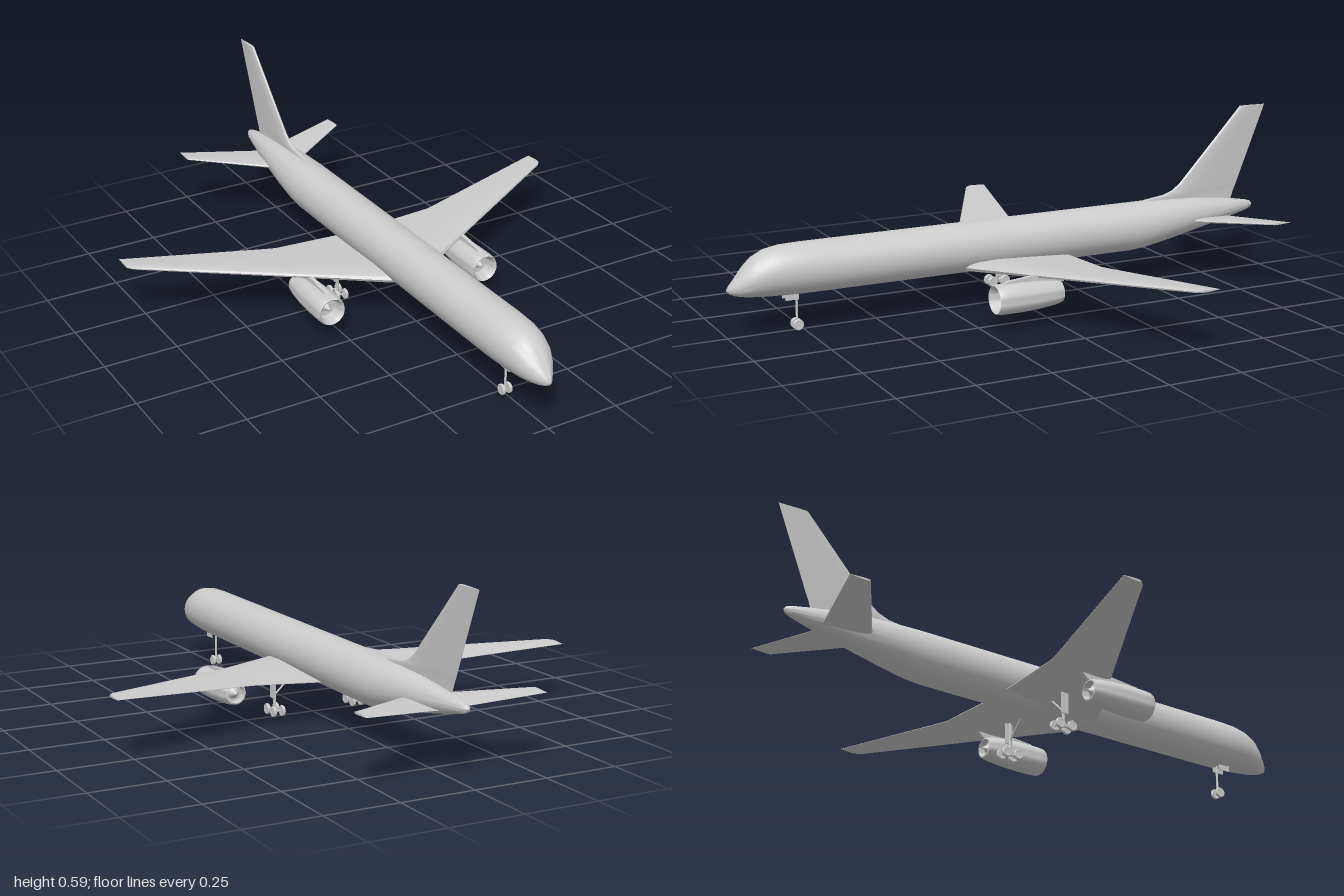
import * as THREE from 'three';
import { toCreasedNormals } from 'three/addons/utils/BufferGeometryUtils.js';

const material = new THREE.MeshStandardMaterial({ color: 0xcccccc });
const V = (x, y, z) => new THREE.Vector3(x, y, z);

function add(parent, name, geometry) {
  const mesh = new THREE.Mesh(geometry, material);
  mesh.name = name;
  parent.add(mesh);
  return mesh;
}

// Closed skin through rings of equal point count, capped at both ends and always facing outwards
function loft(rings) {
  const n = rings[0].length, points = rings.flat(), index = [];
  for (let r = 0; r < rings.length - 1; r++) {
    for (let i = 0; i < n; i++) {
      const a = r * n + i, b = r * n + (i + 1) % n;
      index.push(a, b, b + n, a, b + n, a + n);
    }
  }
  const last = (rings.length - 1) * n;
  for (let i = 1; i < n - 1; i++) index.push(0, i + 1, i, last, last + i, last + i + 1);
  let volume = 0;
  const cross = new THREE.Vector3();
  for (let i = 0; i < index.length; i += 3) {
    volume += points[index[i]].dot(cross.crossVectors(points[index[i + 1]], points[index[i + 2]]));
  }
  if (volume < 0) index.reverse();
  const geometry = new THREE.BufferGeometry().setFromPoints(points);
  geometry.setIndex(index);
  return toCreasedNormals(geometry, 0.7);
}

// Aerofoil outline as [fraction of chord from the leading edge, fraction of thickness]
const FOIL = [[0, 0], [0.02, 0.28], [0.09, 0.43], [0.28, 0.5], [0.6, 0.32], [1, 0.04],
  [1, -0.04], [0.6, -0.32], [0.28, -0.5], [0.09, -0.43], [0.02, -0.28]];

// Horizontal surface from stations [x, y, leading z, trailing z, thickness]
const panel = (stations, side) => loft(stations.map(([x, y, lead, trail, t]) =>
  FOIL.map(([c, h]) => V(side * x, y + h * t, lead + (trail - lead) * c))));

// Straight round bar between two points
function rod(parent, name, from, to, radius) {
  const mesh = add(parent, name, new THREE.CylinderGeometry(radius, radius, from.distanceTo(to), 10));
  mesh.position.addVectors(from, to).multiplyScalar(0.5);
  mesh.quaternion.setFromUnitVectors(V(0, 1, 0), to.clone().sub(from).normalize());
}

function wheel(parent, x, y, z, radius, width) {
  const profile = [[0, -0.4], [0.5, -0.4], [0.6, -0.5], [0.88, -0.5], [1, -0.3],
    [1, 0.3], [0.88, 0.5], [0.6, 0.5], [0.5, 0.4], [0, 0.4]];
  const geometry = new THREE.LatheGeometry(
    profile.map(([r, h]) => new THREE.Vector2(r * radius, h * width)), 20);
  const mesh = add(parent, 'wheel', toCreasedNormals(geometry, 0.6));
  mesh.rotation.z = Math.PI / 2;
  mesh.position.set(x, y, z);
}

function createFuselage(parent) {
  // Stations: z, bottom y, top y, half width
  const stations = [
    [1, 0.154, 0.158, 0.002], [0.99, 0.143, 0.172, 0.013], [0.97, 0.135, 0.193, 0.029],
    [0.94, 0.129, 0.228, 0.05], [0.91, 0.126, 0.255, 0.064], [0.87, 0.123, 0.274, 0.074],
    [0.82, 0.121, 0.283, 0.08], [0.75, 0.119, 0.285, 0.083], [0.2, 0.118, 0.285, 0.083],
    [-0.44, 0.118, 0.285, 0.083], [-0.5, 0.123, 0.285, 0.081], [-0.6, 0.141, 0.283, 0.073],
    [-0.7, 0.161, 0.278, 0.06], [-0.8, 0.181, 0.268, 0.044], [-0.88, 0.198, 0.256, 0.028],
    [-0.93, 0.21, 0.247, 0.018], [-0.95, 0.218, 0.241, 0.01], [-0.957, 0.227, 0.233, 0.003]];
  add(parent, 'fuselage', loft(stations.map(([z, low, high, w]) =>
    Array.from({ length: 36 }, (_, i) => {
      const a = i / 36 * Math.PI * 2;
      return V(Math.cos(a) * w, (low + high) / 2 + Math.sin(a) * (high - low) / 2, z);
    }))));
}

function createFin(parent) {
  // Stations: y, leading z, trailing z, thickness
  const stations = [[0.25, -0.46, -0.865, 0.016], [0.285, -0.485, -0.877, 0.016],
    [0.298, -0.585, -0.883, 0.016], [0.312, -0.625, -0.889, 0.016],
    [0.335, -0.655, -0.898, 0.016], [0.588, -0.896, -1, 0.012]];
  add(parent, 'tailFin', loft(stations.map(([y, lead, trail, t]) =>
    FOIL.map(([c, h]) => V(h * t, y, lead + (trail - lead) * c)))));
}

function createEngine(parent, side) {
  const engine = new THREE.Group();
  engine.name = 'engine';
  engine.position.set(side * 0.295, 0.099, 0);
  parent.add(engine);
  // Nacelle skin wraps from the intake fan, over the lip, back to the exhaust
  const profile = [[0, 0.165], [0.034, 0.165], [0.037, 0.195], [0.041, 0.211], [0.045, 0.214],
    [0.048, 0.208], [0.05, 0.185], [0.05, 0.12], [0.047, 0.06], [0.042, 0.01], [0.036, -0.02],
    [0.031, -0.022], [0.028, 0], [0, 0]];
  const shell = new THREE.LatheGeometry(profile.map(([r, z]) => new THREE.Vector2(r, -z)), 32);
  shell.rotateX(-Math.PI / 2);
  add(engine, 'nacelle', toCreasedNormals(shell, 0.7));
  const spinner = add(engine, 'spinner', new THREE.ConeGeometry(0.018, 0.035, 20));
  spinner.rotation.x = Math.PI / 2;
  spinner.position.z = 0.18;
  const exhaust = add(engine, 'exhaustCone', new THREE.ConeGeometry(0.022, 0.03, 20));
  exhaust.rotation.x = -Math.PI / 2;
  exhaust.position.z = -0.012;
  // Pylon in side outline
  const outline = [[0.19, 0.042], [0.17, 0.056], [0.06, 0.066], [-0.06, 0.064], [-0.03, 0.035], [0.1, 0.035]];
  add(engine, 'pylon', loft([-0.007, 0.007].map(x => outline.map(([z, y]) => V(x, y, z)))));
}

function createMainGear(parent, side) {
  const gear = new THREE.Group();
  gear.name = 'mainGear';
  gear.position.x = side * 0.15;
  parent.add(gear);
  rod(gear, 'strut', V(0, 0.027, -0.014), V(0, 0.155, -0.014), 0.005);
  rod(gear, 'sideBrace', V(0, 0.078, -0.014), V(-side * 0.065, 0.14, -0.014), 0.003);
  rod(gear, 'bogieBeam', V(0, 0.027, 0.009), V(0, 0.027, -0.037), 0.004);
  add(gear, 'gearDoor', new THREE.BoxGeometry(0.004, 0.08, 0.028))
    .position.set(side * 0.008, 0.108, -0.014);
  for (const z of [0.009, -0.037]) {
    rod(gear, 'axle', V(-0.016, 0.027, z), V(0.016, 0.027, z), 0.003);
    for (const x of [-0.016, 0.016]) wheel(gear, x, 0.027, z, 0.018, 0.011);
  }
}

function createNoseGear(parent) {
  const gear = new THREE.Group();
  gear.name = 'noseGear';
  parent.add(gear);
  rod(gear, 'strut', V(0, 0.018, 0.77), V(0, 0.13, 0.77), 0.004);
  rod(gear, 'axle', V(-0.013, 0.018, 0.77), V(0.013, 0.018, 0.77), 0.003);
  for (const s of [-1, 1]) {
    wheel(gear, s * 0.012, 0.018, 0.77, 0.018, 0.011);
    add(gear, 'gearDoor', new THREE.BoxGeometry(0.003, 0.024, 0.045))
      .position.set(s * 0.016, 0.115, 0.79);
  }
}

export function createModel() {
  const plane = new THREE.Group();
  plane.name = 'airliner';
  createFuselage(plane);
  createFin(plane);
  createNoseGear(plane);
  // Stations: x, y, leading z, trailing z, thickness
  const wing = [[0, 0.145, 0.24, -0.175, 0.04], [0.083, 0.148, 0.192, -0.175, 0.038],
    [0.3, 0.162, 0.066, -0.17, 0.024], [0.34, 0.165, 0.044, -0.178, 0.022],
    [0.8, 0.202, -0.205, -0.285, 0.012], [0.815, 0.203, -0.222, -0.289, 0.008]];
  const tail = [[0, 0.2, -0.64, -0.835, 0.018], [0.05, 0.205, -0.674, -0.843, 0.016],
    [0.31, 0.232, -0.836, -0.907, 0.007]];
  for (const side of [-1, 1]) {
    add(plane, 'wing', panel(wing, side));
    add(plane, 'tailplane', panel(tail, side));
    createEngine(plane, side);
    createMainGear(plane, side);
  }
  return plane;
}
